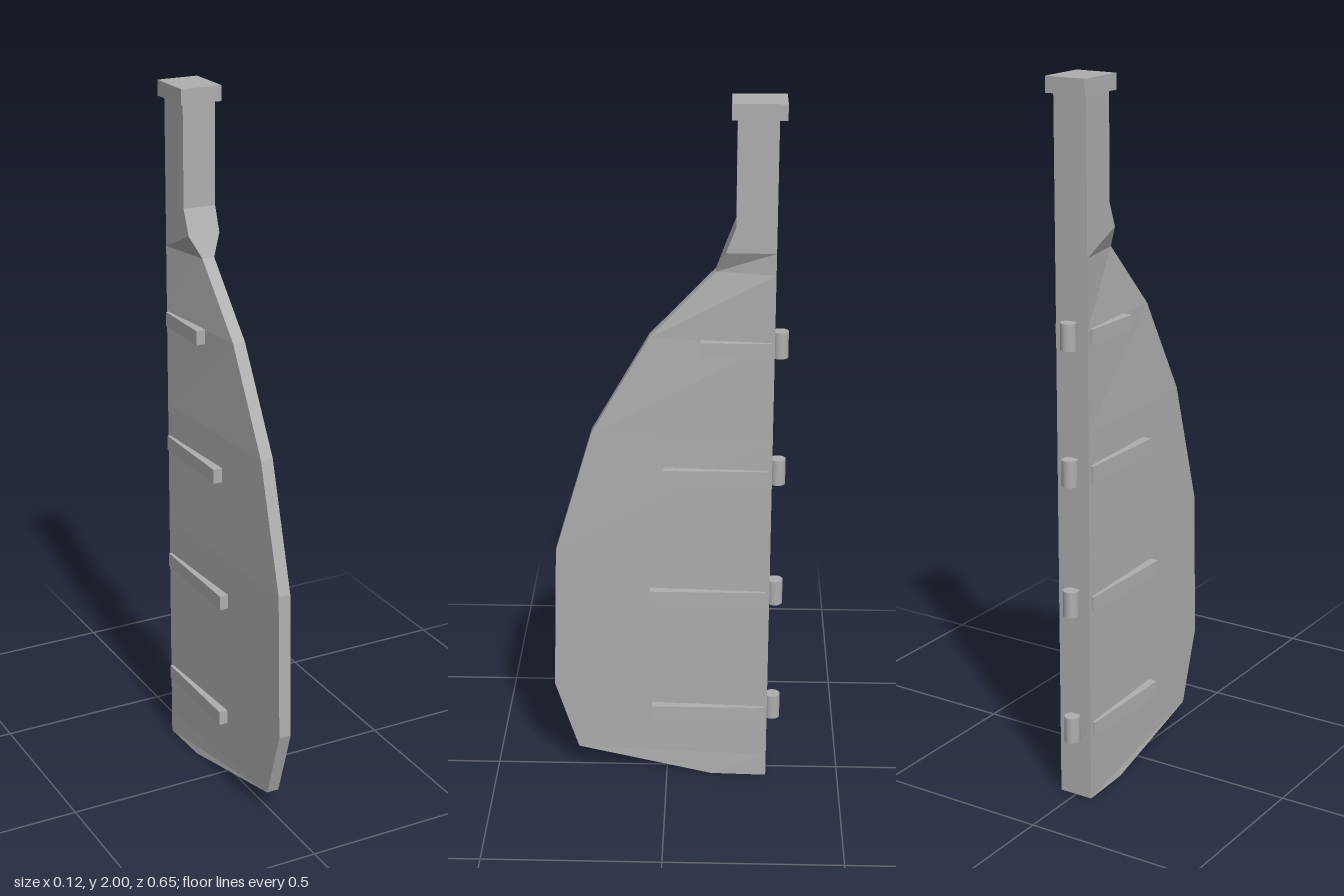
import * as THREE from 'three';

const grey = new THREE.MeshStandardMaterial({ color: 0xb0b0b0 });
grey.name = 'grey';

const BACK = -0.29, HALF = 0.05;

// Blade and stock: tapered cross-sections [y, front edge z, front half width]
const sections = [
  [0, -0.13, 0.045], [0.07, 0.26, 0.018], [0.28, 0.327, 0.018], [0.71, 0.315, 0.018],
  [1.07, 0.21, 0.018], [1.35, 0.05, 0.018], [1.54, -0.13, 0.018],
  [1.6, -0.155, 0.047], [1.67, -0.182, 0.048], [1.96, -0.182, 0.048],
];

function bladeGeometry() {
  const pos = [];
  const rings = sections.map(([y, z, h]) => [
    [-HALF, y, BACK], [-h, y, z], [h, y, z], [HALF, y, BACK],
  ]);
  const quad = (a, b, c, d) => pos.push(...a, ...b, ...c, ...a, ...c, ...d);
  for (let i = 0; i < rings.length - 1; i++) {
    const lo = rings[i], hi = rings[i + 1];
    for (let j = 0; j < 4; j++) {
      const k = (j + 1) % 4;
      quad(lo[j], lo[k], hi[k], hi[j]);
    }
  }
  const bottom = rings[0], top = rings[rings.length - 1];
  quad(bottom[3], bottom[2], bottom[1], bottom[0]);
  quad(top[0], top[1], top[2], top[3]);
  const g = new THREE.BufferGeometry();
  g.setAttribute('position', new THREE.Float32BufferAttribute(pos, 3));
  g.computeVertexNormals();
  return g;
}

export function createModel() {
  const group = new THREE.Group();
  const add = (name, geometry, x, y, z) => {
    const mesh = new THREE.Mesh(geometry, grey);
    mesh.name = name;
    mesh.position.set(x, y, z);
    group.add(mesh);
  };

  add('rudderBlade', bladeGeometry(), 0, 0, 0);
  add('stockCap', new THREE.BoxGeometry(0.12, 0.043, 0.144), 0, 1.9785, -0.239);

  // Hinge straps on both sides, with a pintle behind each pair: [y, strap front z]
  for (const [y, front] of [[0.21, 0.043], [0.583, 0.048], [0.956, 0.01], [1.33, -0.09]]) {
    const length = front + 0.28;
    for (const side of [1, -1]) {
      add(side > 0 ? 'leftStrap' : 'rightStrap',
        new THREE.BoxGeometry(0.028, 0.042, length), side * 0.044, y, front - length / 2);
    }
    add('pintle', new THREE.CylinderGeometry(0.022, 0.022, 0.074, 24), 0, y + 0.001, -0.306);
  }
  return group;
}
